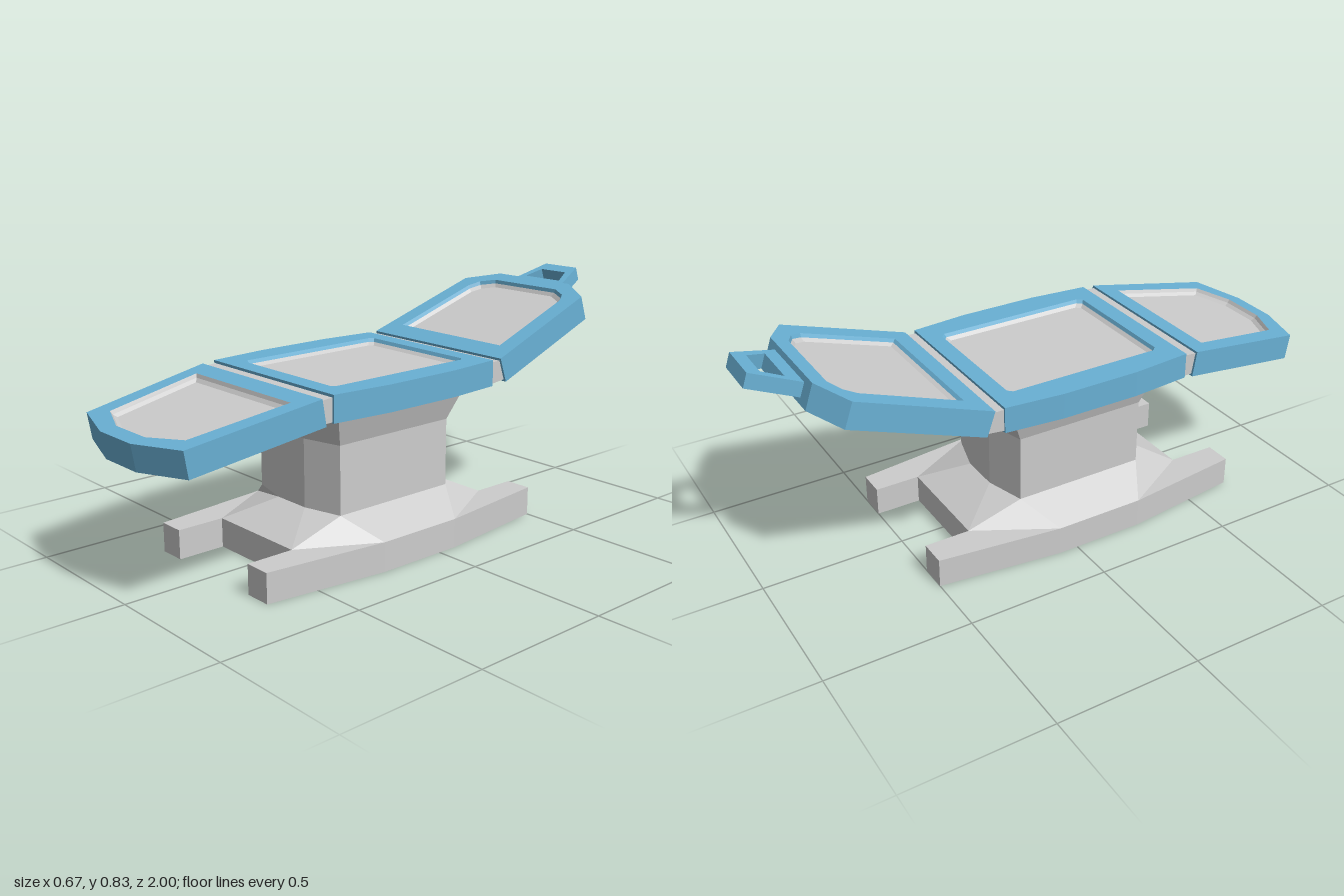
import * as THREE from 'three';

const paint = (name, color) => {
  const m = new THREE.MeshStandardMaterial({ color });
  m.name = name;
  return m;
};

// Outlines are [x, s] pairs, s pointing to the back (-z); the right half is mirrored.
const mirror = (half) => [...half, ...half.map(([x, s]) => [-x, s]).reverse()];
const toShape = (pts) => new THREE.Shape(pts.map(([x, s]) => new THREE.Vector2(x, s)));

// Upright prism between two heights, with an optional hole
function prism(outline, y0, y1, hole) {
  const shape = toShape(outline);
  if (hole) shape.holes.push(toShape(hole));
  return new THREE.ExtrudeGeometry(shape, { depth: y1 - y0, bevelEnabled: false })
    .rotateX(-Math.PI / 2).translate(0, y0, 0);
}

// Flat-sided skin through matching outlines at given heights
function loft(rings) {
  const pos = [];
  for (let i = 0; i < rings.length - 1; i++) {
    const [lo, hi] = [rings[i], rings[i + 1]];
    const n = lo.pts.length;
    for (let j = 0; j < n; j++) {
      const k = (j + 1) % n;
      const v = (r, q) => [r.pts[q][0], r.y, -r.pts[q][1]];
      const [a, b, c, d] = [v(lo, j), v(lo, k), v(hi, k), v(hi, j)];
      pos.push(...a, ...b, ...c, ...a, ...c, ...d);
    }
  }
  const g = new THREE.BufferGeometry();
  g.setAttribute('position', new THREE.Float32BufferAttribute(pos, 3));
  g.computeVertexNormals();
  return g;
}

// Shrink an outline by about d on every side
function inset(pts, d) {
  const xs = pts.map((p) => p[0]), ss = pts.map((p) => p[1]);
  const hx = Math.max(...xs);
  const s0 = Math.min(...ss), s1 = Math.max(...ss);
  const mid = (s0 + s1) / 2, hs = (s1 - s0) / 2;
  return pts.map(([x, s]) => [x * (1 - d / hx), mid + (s - mid) * (1 - d / hs)]);
}

export function createModel() {
  const root = new THREE.Group();
  root.name = 'recliningCouch';
  const blue = paint('blueShell', 0x69b0d4);
  const grey = paint('paleGrey', 0xcccccc);

  const add = (parent, name, geometry, material) => {
    const mesh = new THREE.Mesh(geometry, material);
    mesh.name = name;
    parent.add(mesh);
    return mesh;
  };

  // Foot plate with four toes
  add(root, 'footPlate', prism(mirror([
    [0.19, -0.51], [0.19, -0.68], [0.285, -0.68], [0.337, -0.25],
    [0.337, 0.07], [0.285, 0.5], [0.19, 0.5], [0.19, 0.34],
  ]), 0, 0.102), grey);

  // Pedestal: sloped skirt, straight column, flared head
  const column = mirror([[0.07, -0.36], [0.21, -0.325], [0.21, 0.15], [0.07, 0.19]]);
  add(root, 'pedestal', loft([
    { y: 0.102, pts: mirror([[0.19, -0.51], [0.337, -0.25], [0.337, 0.07], [0.19, 0.34]]) },
    { y: 0.175, pts: column },
    { y: 0.41, pts: column },
    { y: 0.53, pts: mirror([[0.09, -0.412], [0.25, -0.365], [0.25, 0.2], [0.09, 0.24]]) },
  ]), grey);

  // Padded section: shell frame, closed underside, sloped rim and sunken pad
  function section(name, outline, recess, rimMaterial, y, z, angle) {
    const g = new THREE.Group();
    g.name = name;
    const t = 0.09;
    add(g, name + 'Shell', prism(outline, -t, 0, recess), blue);
    add(g, name + 'Underside',
      new THREE.ShapeGeometry(toShape(recess)).rotateX(Math.PI / 2).scale(1, 1, -1)
        .translate(0, -t, 0), blue);
    const under = g.children[1].geometry;
    // scaling mirrored the faces, so restore their order
    const idx = under.index.array;
    for (let i = 0; i < idx.length; i += 3) [idx[i], idx[i + 1]] = [idx[i + 1], idx[i]];
    under.computeVertexNormals();
    if (under.attributes.normal.getY(0) > 0) {
      for (let i = 0; i < idx.length; i += 3) [idx[i], idx[i + 1]] = [idx[i + 1], idx[i]];
      under.computeVertexNormals();
    }
    const mid = inset(recess, 0.006), low = inset(recess, 0.018);
    add(g, name + 'Rim', loft([{ y: 0, pts: recess }, { y: -0.012, pts: mid }]), rimMaterial);
    add(g, name + 'PadEdge', loft([{ y: -0.012, pts: mid }, { y: -0.022, pts: low }]), grey);
    add(g, name + 'Pad',
      new THREE.ShapeGeometry(toShape(low)).rotateX(-Math.PI / 2).translate(0, -0.022, 0), grey);
    g.position.set(0, y, z);
    g.rotation.x = angle;
    root.add(g);
    return g;
  }

  section('seat',
    mirror([[0.313, -0.435], [0.332, -0.22], [0.332, 0.06], [0.313, 0.265]]),
    mirror([[0.22, -0.372], [0.235, -0.355], [0.235, 0.19], [0.22, 0.205]]),
    blue, 0.615, 0, 0);

  section('legRest',
    mirror([[0.085, -0.527], [0.27, -0.468], [0.315, 0]]),
    mirror([[0.08, -0.475], [0.21, -0.42], [0.25, -0.07]]),
    grey, 0.61, 0.48, 0.162);

  const back = section('backRest',
    mirror([[0.315, 0], [0.289, 0.478], [0.17, 0.553]]),
    mirror([[0.245, 0.075], [0.227, 0.43], [0.205, 0.47], [0.15, 0.5]]),
    blue, 0.615, -0.3, 0.332);

  // Head bracket with an open slot
  add(back, 'headBracket', prism(
    mirror([[0.125, 0.535], [0.075, 0.715]]), -0.07, -0.02,
    mirror([[0.082, 0.6], [0.058, 0.668]])), blue);

  // Hinge bars filling the gaps between sections: cross-sections in [z, y]
  const hinge = (name, section) => add(root, name,
    new THREE.ExtrudeGeometry(
      new THREE.Shape(section.map(([z, y]) => new THREE.Vector2(-z, y))),
      { depth: 0.614, bevelEnabled: false },
    ).rotateY(Math.PI / 2).translate(-0.307, 0, 0), grey);
  hinge('frontHinge', [[0.485, 0.528], [0.43, 0.528], [0.43, 0.606], [0.485, 0.602]]);
  hinge('backHinge', [[-0.26, 0.53], [-0.335, 0.538], [-0.308, 0.606], [-0.26, 0.606]]);

  return root;
}
